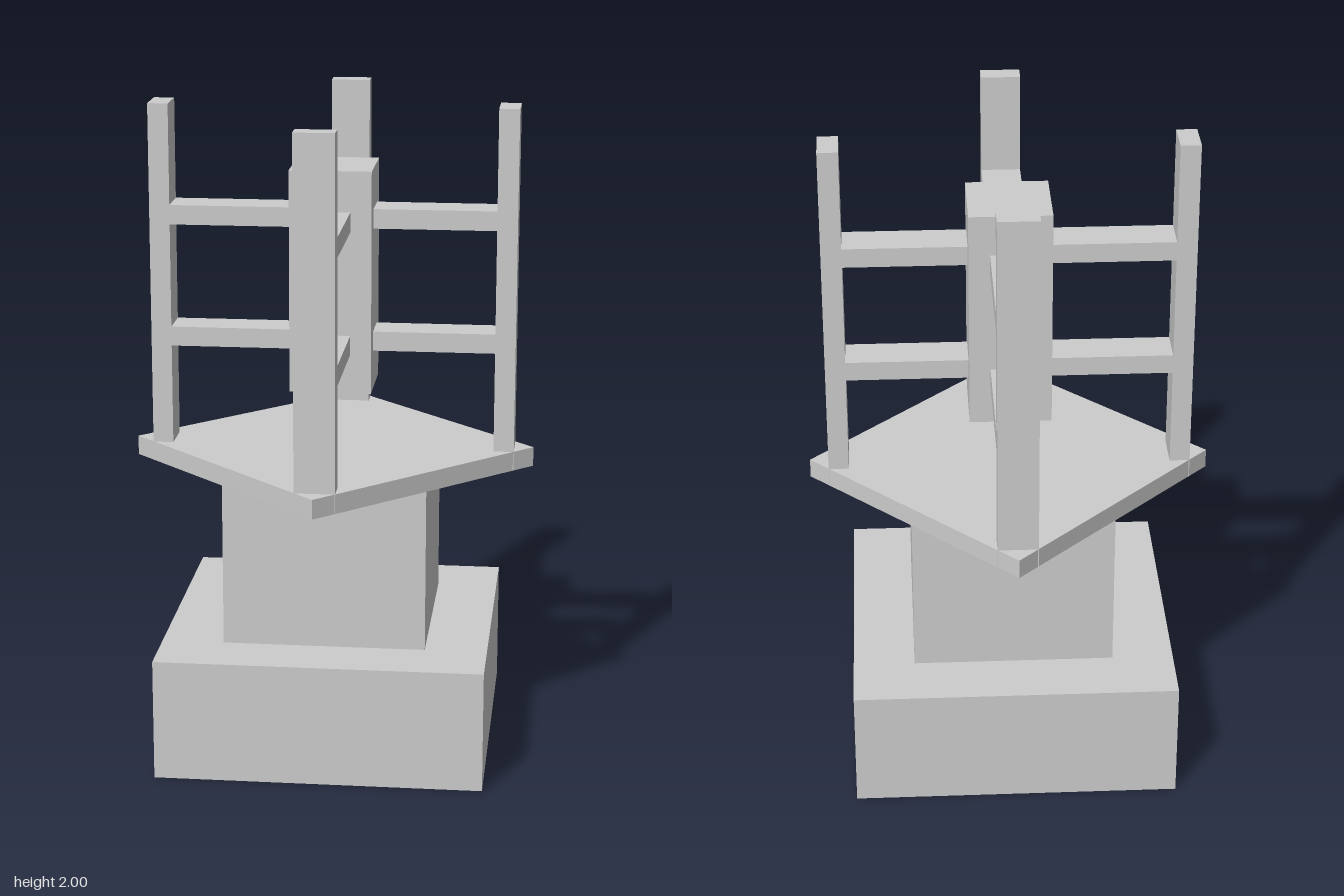
import * as THREE from 'three';

export function createModel() {
  const model = new THREE.Group();
  model.name = 'pedestalTower';
  const stone = new THREE.MeshStandardMaterial({ color: 0xcccccc });
  stone.name = 'light grey';

  // Box given by its centre x and its bottom and top heights
  function box(parent, name, width, depth, bottom, top, x = 0) {
    const mesh = new THREE.Mesh(new THREE.BoxGeometry(width, top - bottom, depth), stone);
    mesh.name = name;
    mesh.position.set(x, (bottom + top) / 2, 0);
    parent.add(mesh);
    return mesh;
  }

  // Stacked pedestal
  box(model, 'base', 1, 1, 0, 0.375);
  box(model, 'column', 0.62, 0.62, 0.375, 0.88);

  // Square platform turned by 45 degrees, corners on the axes
  const side = 0.62 * Math.SQRT2;
  box(model, 'platform', side, side, 0.88, 0.94).rotation.y = Math.PI / 4;

  // Suspended core
  box(model, 'core', 0.25, 0.25, 1.13, 1.815);

  // Four upright posts, each holding the core with two bars
  for (let i = 0; i < 4; i++) {
    const arm = new THREE.Group();
    arm.name = 'postAndBars';
    box(arm, 'post', 0.0625, 0.122, 0.88, 2, 0.53);
    for (const y of [1.25, 1.63]) box(arm, 'bar', 0.375, 0.122, y, y + 0.06, 0.3125);
    arm.rotation.y = i * Math.PI / 2;
    model.add(arm);
  }
  return model;
}
